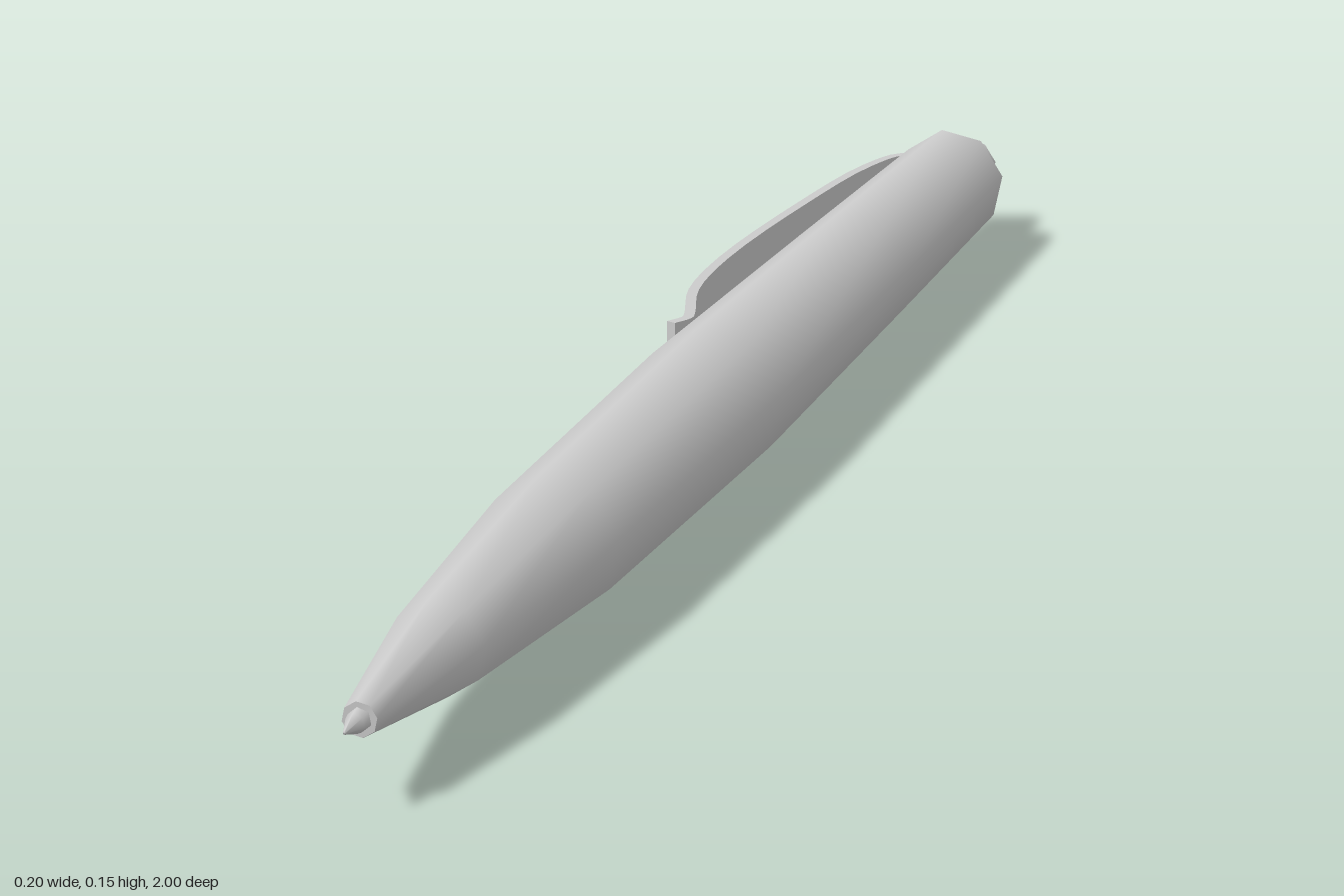
import * as THREE from 'three';

const CX = 0.024, CY = 0.076;
const PHASE = THREE.MathUtils.degToRad(10.7);

// Faceted part turned around the pen's long axis; points are [radius, z], rear to front
function turned(name, points, sides = 8) {
  const group = new THREE.Group();
  group.name = name;
  const material = new THREE.MeshStandardMaterial({ color: 0xcccccc, side: THREE.DoubleSide });
  // each run of points is its own smooth surface, so edges between runs stay sharp
  points.forEach((run, i) => {
    const g = new THREE.LatheGeometry(run.map(([r, z]) => new THREE.Vector2(r, z)), sides, PHASE);
    g.rotateX(Math.PI / 2);
    const mesh = new THREE.Mesh(g, material);
    mesh.name = name + 'Surface' + (i + 1);
    group.add(mesh);
  });
  group.position.set(CX, CY, 0);
  return group;
}

// Bent strip: a curve in x/z thickened sideways and extruded in y
function strip(name, path, thickness, y0, y1) {
  const curve = new THREE.CatmullRomCurve3(path.map(([x, z]) => new THREE.Vector3(x, -z, 0)), false, 'centripetal');
  const n = 32, left = [], right = [];
  for (let i = 0; i <= n; i++) {
    const p = curve.getPoint(i / n), t = curve.getTangent(i / n);
    const dx = -t.y * thickness / 2, dy = t.x * thickness / 2;
    left.push(new THREE.Vector2(p.x + dx, p.y + dy));
    right.unshift(new THREE.Vector2(p.x - dx, p.y - dy));
  }
  const g = new THREE.ExtrudeGeometry(new THREE.Shape([...left, ...right]), { depth: y1 - y0, bevelEnabled: false });
  g.rotateX(-Math.PI / 2);
  g.translate(0, y0, 0);
  const mesh = new THREE.Mesh(g, new THREE.MeshStandardMaterial({ color: 0xcccccc }));
  mesh.name = name;
  return mesh;
}

export function createModel() {
  const pen = new THREE.Group();
  pen.name = 'pen';

  // Long tapering barrel with a flat rear and a blunt nose
  pen.add(turned('barrel', [
    [[0, -0.915], [0.0615, -0.915]],
    [[0.0615, -0.915], [0.068, -0.5], [0.0745, 0], [0.066, 0.48], [0.044, 0.78], [0.016, 0.965]],
    [[0.016, 0.965], [0, 0.965]],
  ]));

  // Writing point
  pen.add(turned('writingTip', [[[0.012, 0.96], [0.009, 0.975], [0.001, 1]]], 6));

  // Collar plate that holds the clip at the rear
  pen.add(turned('rearCollar', [
    [[0, -0.924], [0.051, -0.924]],
    [[0.051, -0.924], [0.051, -0.91]],
  ]));

  // Push button
  pen.add(turned('pushButton', [
    [[0, -1], [0.031, -1]],
    [[0.031, -1], [0.031, -0.91]],
  ]));

  // Spring clip, bowed away from the barrel and kicked out at its free end
  pen.add(strip('clip', [
    [0.0, -0.918], [-0.034, -0.917], [-0.058, -0.855], [-0.081, -0.66], [-0.094, -0.42],
    [-0.086, -0.29], [-0.062, -0.2], [-0.06, -0.185], [-0.07, -0.163],
  ], 0.011, 0.048, 0.104));

  return pen;
}
